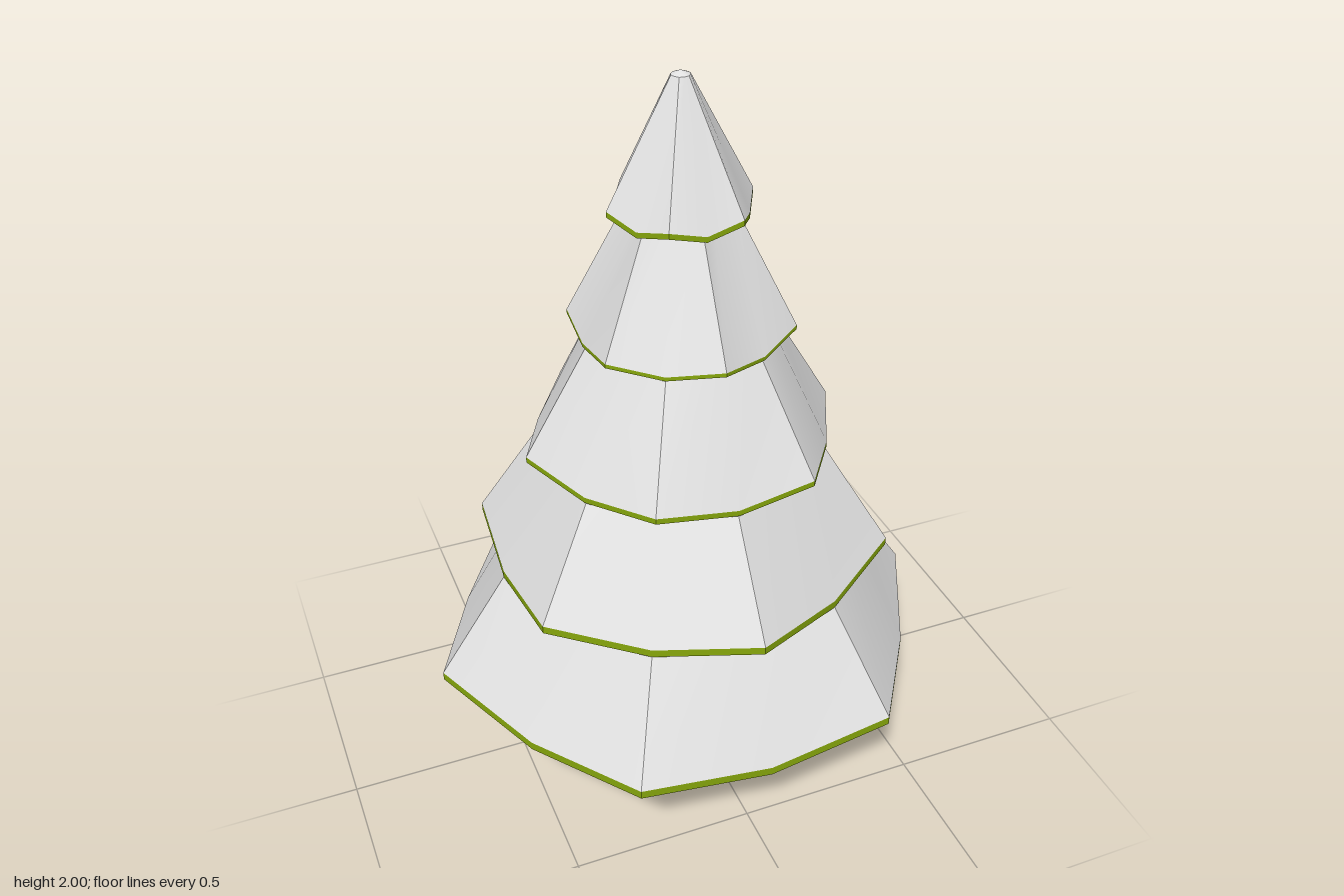
import * as THREE from 'three';
import { toCreasedNormals } from 'three/addons/utils/BufferGeometryUtils.js';

const SIDES = 12;

// A ring alternates between corner and middle points: [cornerR, cornerY, midR, midY].
function ringPoints([cornerR, cornerY, midR, midY], turn) {
  return Array.from({ length: SIDES }, (_, i) => {
    const a = turn + (i / SIDES) * Math.PI * 2;
    const r = i % 2 ? midR : cornerR;
    return [Math.cos(a) * r, i % 2 ? midY : cornerY, Math.sin(a) * r];
  });
}

// Skin rings from bottom to top; smooth across middles, sharp at corners.
function loft(rings, turn) {
  const pos = [];
  for (let k = 0; k < rings.length - 1; k++) {
    const lo = ringPoints(rings[k], turn);
    const hi = ringPoints(rings[k + 1], turn);
    for (let i = 0; i < SIDES; i++) {
      const j = (i + 1) % SIDES;
      if (rings[k][0] > 0) pos.push(...lo[i], ...hi[i], ...lo[j]);
      if (rings[k + 1][0] > 0) pos.push(...lo[j], ...hi[i], ...hi[j]);
    }
  }
  const geo = new THREE.BufferGeometry();
  geo.setAttribute('position', new THREE.Float32BufferAttribute(pos, 3));
  return toCreasedNormals(geo, Math.PI / 6);
}

export function createModel() {
  const tree = new THREE.Group();
  tree.name = 'snowyTree';

  const snow = new THREE.MeshStandardMaterial({ color: 0xe2e2e2 });
  snow.name = 'snow';
  const needles = new THREE.MeshStandardMaterial({ color: 0x86a60c });
  needles.name = 'needles';
  const bark = new THREE.MeshStandardMaterial({ color: 0x7a4a36, flatShading: true });
  bark.name = 'bark';

  // Flared trunk
  const profile = [[0, 0], [0.18, 0], [0.125, 0.18], [0.115, 0.32]];
  const trunk = new THREE.Mesh(
    new THREE.LatheGeometry(profile.map(([r, y]) => new THREE.Vector2(r, y)), SIDES), bark);
  trunk.name = 'trunk';
  tree.add(trunk);

  // Tiers: snow rim, snow top and thickness of the green edge
  const tiers = [
    { rim: [0.715, 0.35, 0.645, 0.322], top: [0.49, 0.68, 0.455, 0.68], edge: 0.024 },
    { rim: [0.575, 0.682, 0.52, 0.656], top: [0.37, 1.0, 0.33, 1.0], edge: 0.022 },
    { rim: [0.435, 1.01, 0.395, 0.988], top: [0.245, 1.33, 0.235, 1.33], edge: 0.016 },
    { rim: [0.3, 1.338, 0.268, 1.318], top: [0.13, 1.67, 0.1, 1.67], edge: 0.011 },
    { rim: [0.195, 1.67, 0.172, 1.645], top: [0.025, 1.99, 0.024, 1.99], edge: 0.015 },
  ];
  tiers.forEach(({ rim, top, edge }, i) => {
    const turn = i % 2 ? Math.PI / 6 : 0;
    const tier = new THREE.Group();
    tier.name = `tier${i + 1}`;

    // Snow slope, closed with a tip on the highest tier
    const rings = [rim, top];
    if (i === tiers.length - 1) rings.push([0, 2, 0, 2]);
    const cover = new THREE.Mesh(loft(rings, turn), snow);
    cover.name = 'snowCover';

    // Green edge and underside
    const under = [rim[0], rim[1] - edge, rim[2], rim[3] - edge];
    const centre = [0, under[3], 0, under[3]];
    const branches = new THREE.Mesh(loft([centre, under, rim], turn), needles);
    branches.name = 'branches';

    tier.add(cover, branches);
    tree.add(tier);
  });

  return tree;
}
